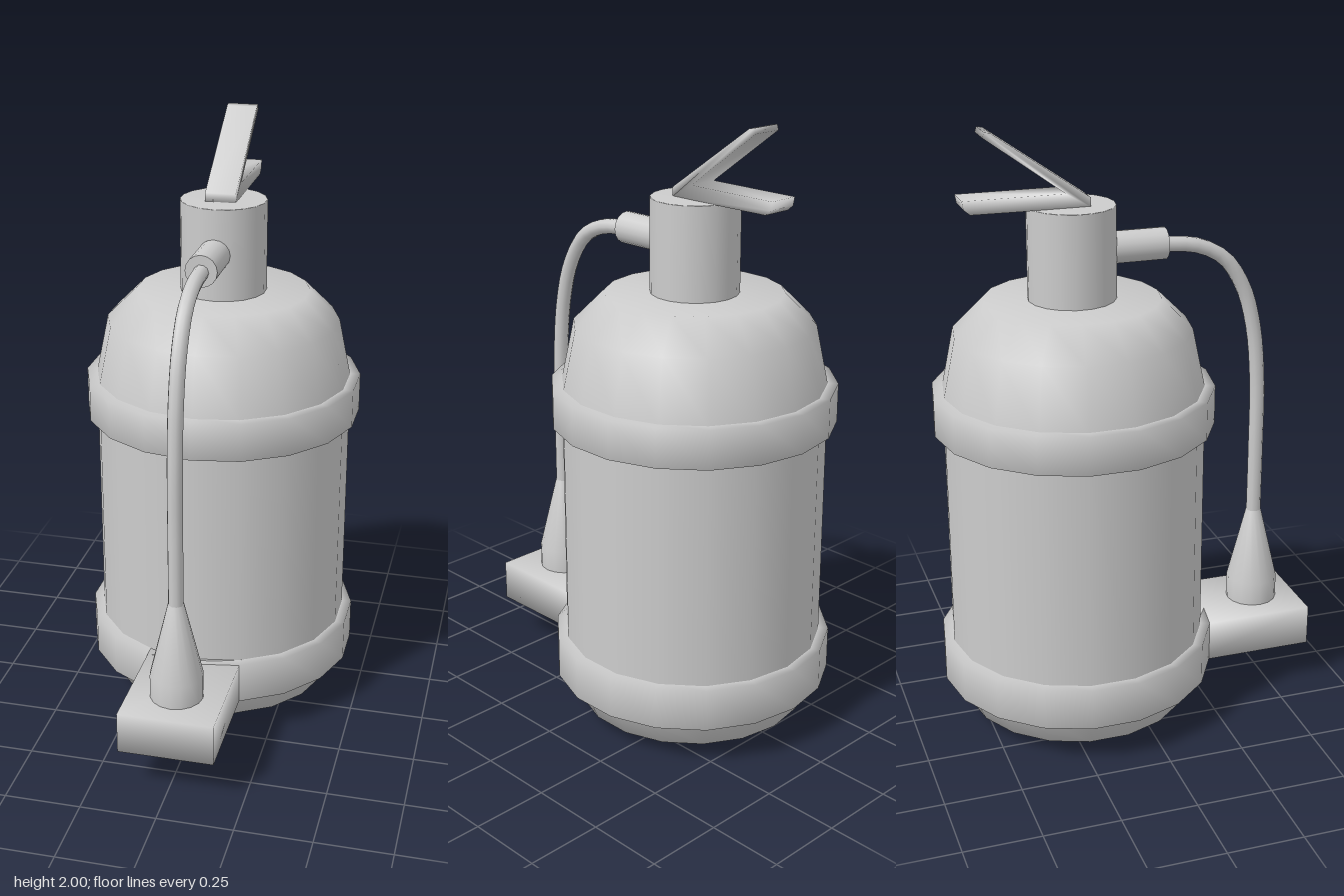
import * as THREE from 'three';
import { mergeVertices } from 'three/addons/utils/BufferGeometryUtils.js';

const TANK_Z = -0.17;
const HOSE_Z = 0.478;

// Shares vertices so that shading runs softly over the edges.
function soften(geometry) {
  geometry.deleteAttribute('normal');
  geometry.deleteAttribute('uv');
  const merged = mergeVertices(geometry, 1e-4);
  merged.computeVertexNormals();
  return merged;
}

export function createModel() {
  const group = new THREE.Group();
  const grey = new THREE.MeshStandardMaterial({ color: 0xcccccc });
  grey.name = 'lightGrey';

  function add(name, geometry, x = 0, y = 0, z = 0) {
    const mesh = new THREE.Mesh(geometry, grey);
    mesh.name = name;
    mesh.position.set(x, y, z);
    group.add(mesh);
    return mesh;
  }

  // Profile is [radius, height], listed from bottom to top.
  function turned(name, profile, sides, z) {
    const points = profile.map(([r, y]) => new THREE.Vector2(r, y));
    return add(name, new THREE.LatheGeometry(points, sides), 0, 0, z);
  }

  // Tank
  turned('tankBase', [[0, 0], [0.28, 0], [0.38, 0.045], [0.427, 0.15]], 18, TANK_Z);
  turned('tankBody', [[0.427, 0.15], [0.427, 1.15]], 18, TANK_Z);
  turned('tankShoulder', [[0.427, 1.15], [0.385, 1.35], [0.285, 1.45], [0, 1.45]], 18, TANK_Z);

  // Raised bands round the tank
  for (const [name, low, high] of [['lowerBand', 0.145, 0.285], ['upperBand', 1.03, 1.157]]) {
    turned(name, [[0.42, low], [0.46, low], [0.46, high], [0.42, high]], 18, TANK_Z);
  }

  // Valve neck and hose outlet
  turned('valveNeck', [[0.142, 1.44], [0.142, 1.75], [0.14, 1.752], [0, 1.752]], 18, TANK_Z);
  const outlet = add('hoseOutlet', new THREE.CylinderGeometry(0.052, 0.052, 0.2, 16), 0, 1.602, 0.04);
  outlet.rotation.x = Math.PI / 2;

  // Hose
  const path = new THREE.CatmullRomCurve3([
    [0.12, 1.6], [0.25, 1.585], [0.345, 1.535], [0.415, 1.43],
    [0.455, 1.29], [0.475, 1.1], [HOSE_Z, 0.85], [HOSE_Z, 0.6],
  ].map(([z, y]) => new THREE.Vector3(0, y, z)));
  add('hose', new THREE.TubeGeometry(path, 28, 0.025, 10));

  // Discharge horn and the bracket it stands on
  turned('horn', [[0.087, 0.28], [0.087, 0.365], [0.026, 0.62], [0, 0.62]], 16, HOSE_Z);
  add('hornBracket', soften(new THREE.BoxGeometry(0.315, 0.14, 0.432)), 0, 0.215, 0.416);

  // V-shaped grip and lever, drawn as [distance behind the origin, height]
  const outline = [
    [0.12, 1.75], [0.5, 1.753], [0.52, 1.77], [0.525, 1.797], [0.2, 1.797],
    [0.455, 1.983], [0.45, 2], [0.43, 1.996], [0.12, 1.78],
  ];
  const shape = new THREE.Shape(outline.map(([d, y]) => new THREE.Vector2(d, y)));
  const handle = new THREE.ExtrudeGeometry(shape, { depth: 0.1, bevelEnabled: false });
  handle.translate(0, 0, -0.05);
  handle.rotateY(Math.PI / 2);
  add('gripAndLever', soften(handle));

  return group;
}
